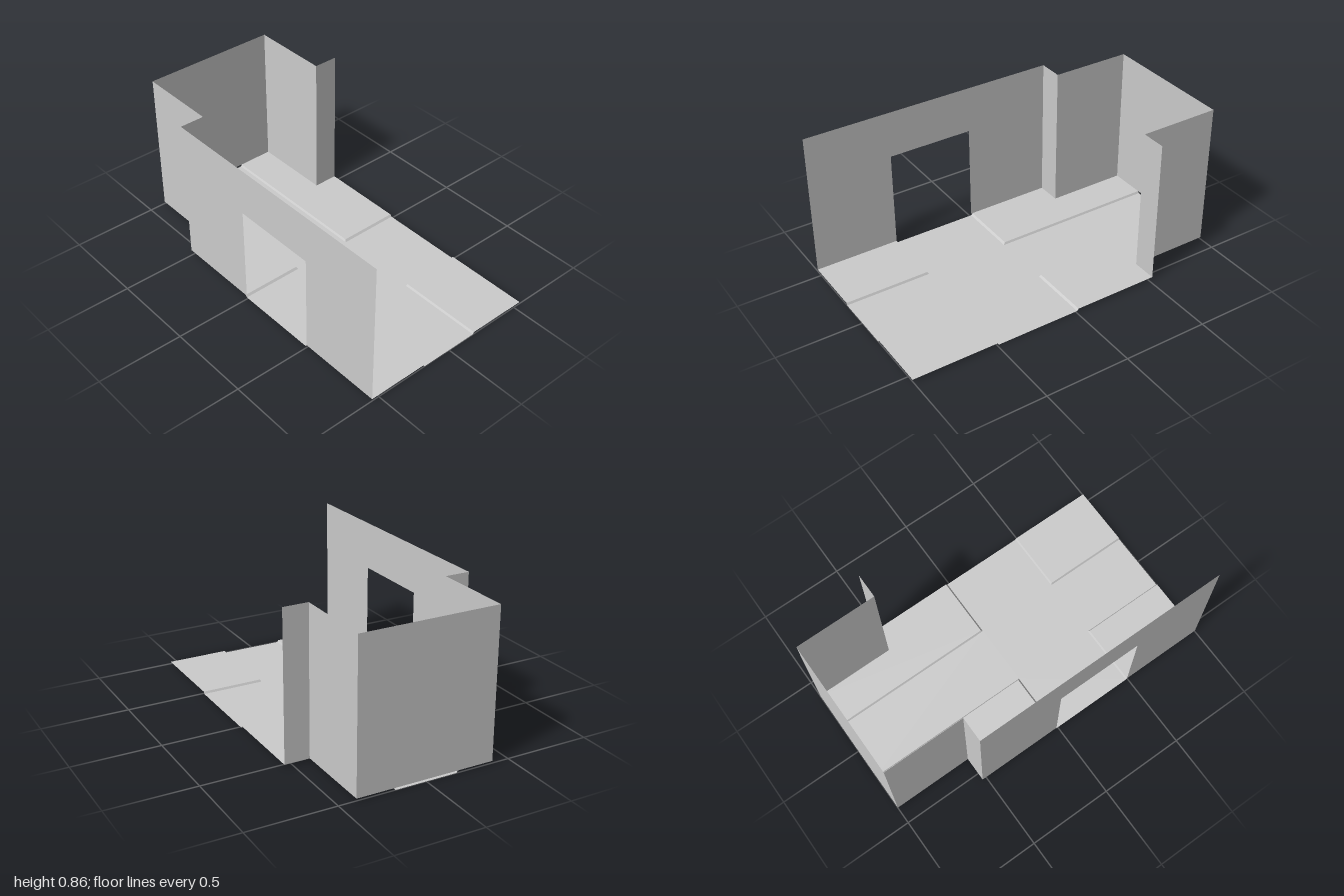
import * as THREE from 'three';

const W = 0.545, A = 0.4;            // half width of the room and of the alcove
const FRONT = 1, JOG = -0.525, BACK = -1;
const TOP = 0.863, PAD = 0.012;      // wall top, raised floor level
const material = new THREE.MeshStandardMaterial({ color: 0xcccccc, flatShading: true, side: THREE.DoubleSide });

function add(group, name, geometry) {
  const mesh = new THREE.Mesh(geometry, material);
  mesh.name = name;
  group.add(mesh);
}

function shapeGeometry(points) {
  return new THREE.ShapeGeometry(new THREE.Shape(points.map(([x, y]) => new THREE.Vector2(x, y))));
}

// Flat sheet from an (x, z) outline at height y
function floorSheet(points, y) {
  return shapeGeometry(points.map(([x, z]) => [x, -z])).rotateX(-Math.PI / 2).translate(0, y, 0);
}

// Strip between two (x, z) paths, each at its own height
function strip(lower, y0, upper, y1) {
  const pos = [];
  for (let i = 0; i < lower.length - 1; i++) {
    const [a, b] = [lower[i], lower[i + 1]].map(([x, z]) => [x, y0, z]);
    const [d, c] = [upper[i], upper[i + 1]].map(([x, z]) => [x, y1, z]);
    pos.push(...a, ...b, ...c, ...a, ...c, ...d);
  }
  const geometry = new THREE.BufferGeometry();
  geometry.setAttribute('position', new THREE.Float32BufferAttribute(pos, 3));
  geometry.computeVertexNormals();
  return geometry;
}

function wall(path) {
  return strip(path, PAD, path, TOP);
}

export function createModel() {
  const model = new THREE.Group();
  model.name = 'room';

  // Sunken cross-shaped floor
  const c = 0.18, zf = 0.49, zb = -0.01;
  add(model, 'floorCross', floorSheet([
    [-c, FRONT], [c, FRONT], [c, zf], [W, zf], [W, zb], [c, zb],
    [c, BACK], [-c, BACK], [-c, zb], [-W, zb], [-W, zf], [-c, zf],
  ], 0));

  // Raised corner pads with slightly sloped step edges
  const p = 0.187, pf = 0.497, pb = -0.02;
  for (const s of [-1, 1]) {
    const side = s < 0 ? 'right' : 'left';
    const mirror = (points) => points.map(([x, z]) => [s * x, z]);
    add(model, side + 'FrontPad', floorSheet(mirror([[p, FRONT], [W, FRONT], [W, pf], [p, pf]]), PAD));
    add(model, side + 'BackPad', floorSheet(mirror([[p, pb], [W, pb], [W, JOG], [A, JOG], [A, BACK], [p, BACK]]), PAD));
    add(model, side + 'FrontStep', strip(
      mirror([[W, zf], [c, zf], [c, FRONT]]), 0,
      mirror([[W, pf], [p, pf], [p, FRONT]]), PAD));
    add(model, side + 'BackStep', strip(
      mirror([[W, zb], [c, zb], [c, BACK]]), 0,
      mirror([[W, pb], [p, pb], [p, BACK]]), PAD));

    // Short return and side wall of the alcove
    add(model, side + 'AlcoveReturn', wall(mirror([[W, JOG], [A, JOG]])));
    add(model, side + 'AlcoveWall', wall(mirror([[A, JOG], [A, BACK]])));
  }

  // Back wall
  add(model, 'backWall', wall([[-A, BACK], [A, BACK]]));

  // Long side wall with a doorway, drawn in (z, y)
  const doorTop = 0.586;
  const sideWall = shapeGeometry([
    [JOG, PAD], [zb, PAD], [zb, doorTop], [pf, doorTop], [pf, PAD],
    [FRONT, PAD], [FRONT, TOP], [JOG, TOP],
  ]);
  add(model, 'doorwayWall', sideWall.rotateY(-Math.PI / 2).translate(-W, 0, 0));

  return model;
}
